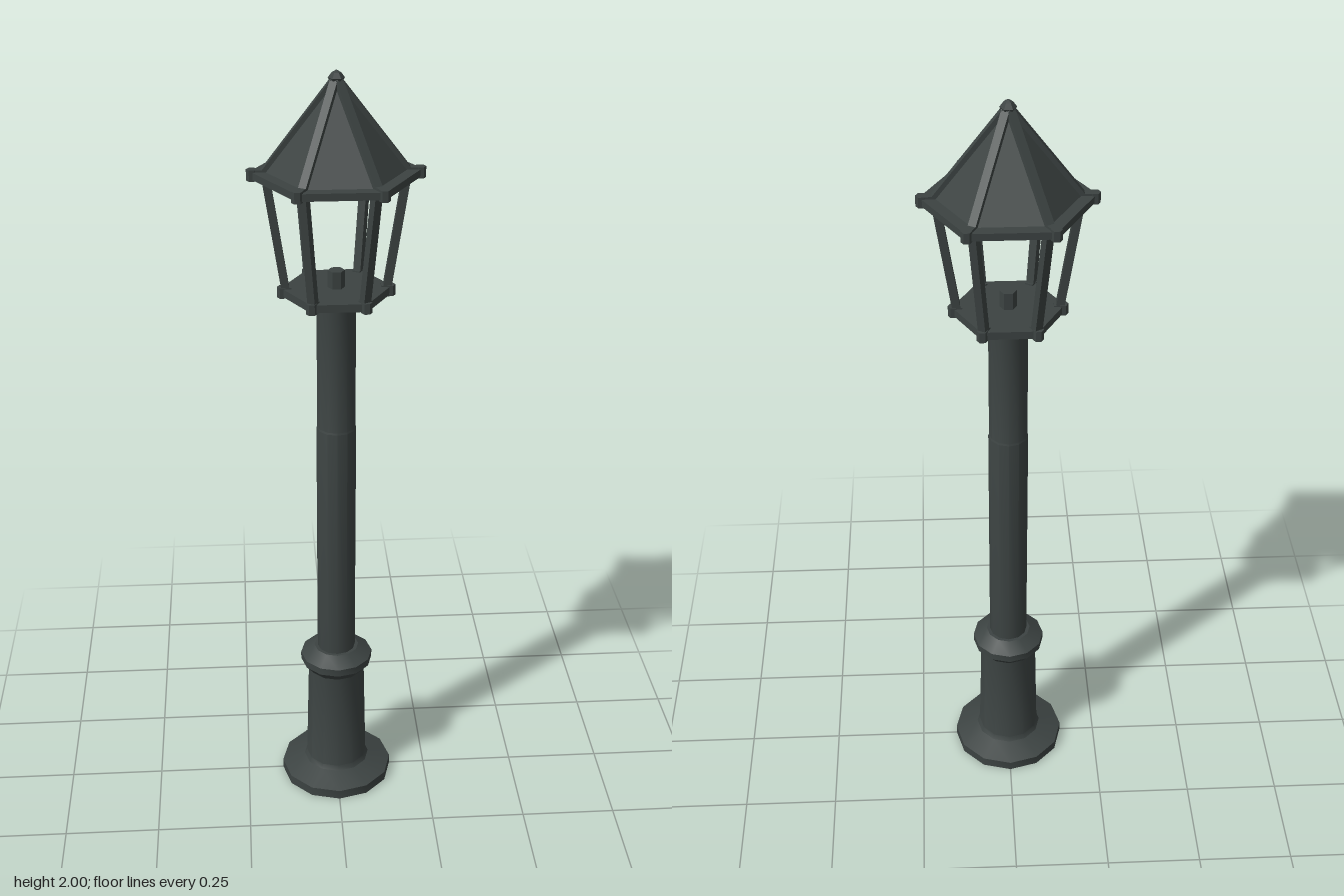
import * as THREE from 'three';
import { toCreasedNormals } from 'three/addons/utils/BufferGeometryUtils.js';

export function createModel() {
  const model = new THREE.Group();
  const iron = new THREE.MeshStandardMaterial({ color: 0x3c4342 });
  iron.name = 'dark iron';

  function add(name, geometry, parent = model) {
    const mesh = new THREE.Mesh(geometry, iron);
    mesh.name = name;
    parent.add(mesh);
    return mesh;
  }

  // Turned part from [radius, height] pairs; a corner points along x
  function turned(name, profile, sides, crease) {
    const points = profile.map(([r, y]) => new THREE.Vector2(r, y));
    const geometry = new THREE.LatheGeometry(points, sides).rotateY(Math.PI / 2);
    return add(name, toCreasedNormals(geometry, crease), model);
  }

  // Bar in the xy plane between two [radius, height] points
  function bar(name, [r0, y0], [r1, y1], thick, width, parent) {
    const length = Math.hypot(r1 - r0, y1 - y0);
    const mesh = add(name, new THREE.BoxGeometry(length, thick, width), parent);
    mesh.position.set((r0 + r1) / 2, (y0 + y1) / 2, 0);
    mesh.rotation.z = Math.atan2(y1 - y0, r1 - r0);
  }

  // Pedestal, collar and pole
  turned('pedestal', [
    [0, 0], [0.152, 0], [0.152, 0.026], [0.09, 0.048], [0.083, 0.06],
    [0.076, 0.35], [0.082, 0.358], [0.097, 0.375], [0.097, 0.395],
    [0.06, 0.418], [0, 0.418],
  ], 12, 0.55);
  turned('pole', [[0.051, 0.41], [0.051, 1.085], [0.049, 1.09], [0.049, 1.44]], 12, 0.55);
  turned('poleCap', [[0, 1.435], [0.06, 1.435], [0.08, 1.45], [0, 1.45]], 12, 0.55);

  // Lantern floor and burner
  turned('lanternFloor', [[0, 1.448], [0.136, 1.448], [0.136, 1.468], [0, 1.468]], 6, 0.1);
  turned('burner', [[0, 1.466], [0.021, 1.466], [0.021, 1.512], [0, 1.512]], 6, 0.1);

  // Hollow hexagonal roof with a flat rim
  turned('roof', [
    [0, 1.965], [0.162, 1.745], [0.205, 1.745], [0.205, 1.763],
    [0.172, 1.763], [0, 1.985],
  ], 6, 0.1);
  turned('finial', [[0, 1.962], [0.011, 1.965], [0.02, 1.982], [0.011, 1.994], [0, 2]], 6, 0.1);

  // Corner posts, roof ridges and bracket ends
  for (let i = 0; i < 6; i++) {
    const corner = new THREE.Group();
    corner.name = 'lanternCorner';
    corner.rotation.y = i * Math.PI / 3;
    model.add(corner);
    bar('post', [0.124, 1.462], [0.168, 1.75], 0.02, 0.02, corner);
    bar('ridge', [0.172, 1.762], [0.004, 1.98], 0.014, 0.02, corner);
    bar('roofBracket', [0.16, 1.755], [0.205, 1.755], 0.027, 0.02, corner);
    bar('floorBracket', [0.11, 1.458], [0.138, 1.458], 0.027, 0.02, corner);
    for (const [r, y] of [[0.2, 1.755], [0.132, 1.458]]) {
      const knob = add('bracketEnd', new THREE.CylinderGeometry(0.0135, 0.0135, 0.027, 6).toNonIndexed(), corner);
      knob.geometry.computeVertexNormals();
      knob.position.set(r, y, 0);
      knob.rotation.y = Math.PI / 2;
    }
  }
  return model;
}
